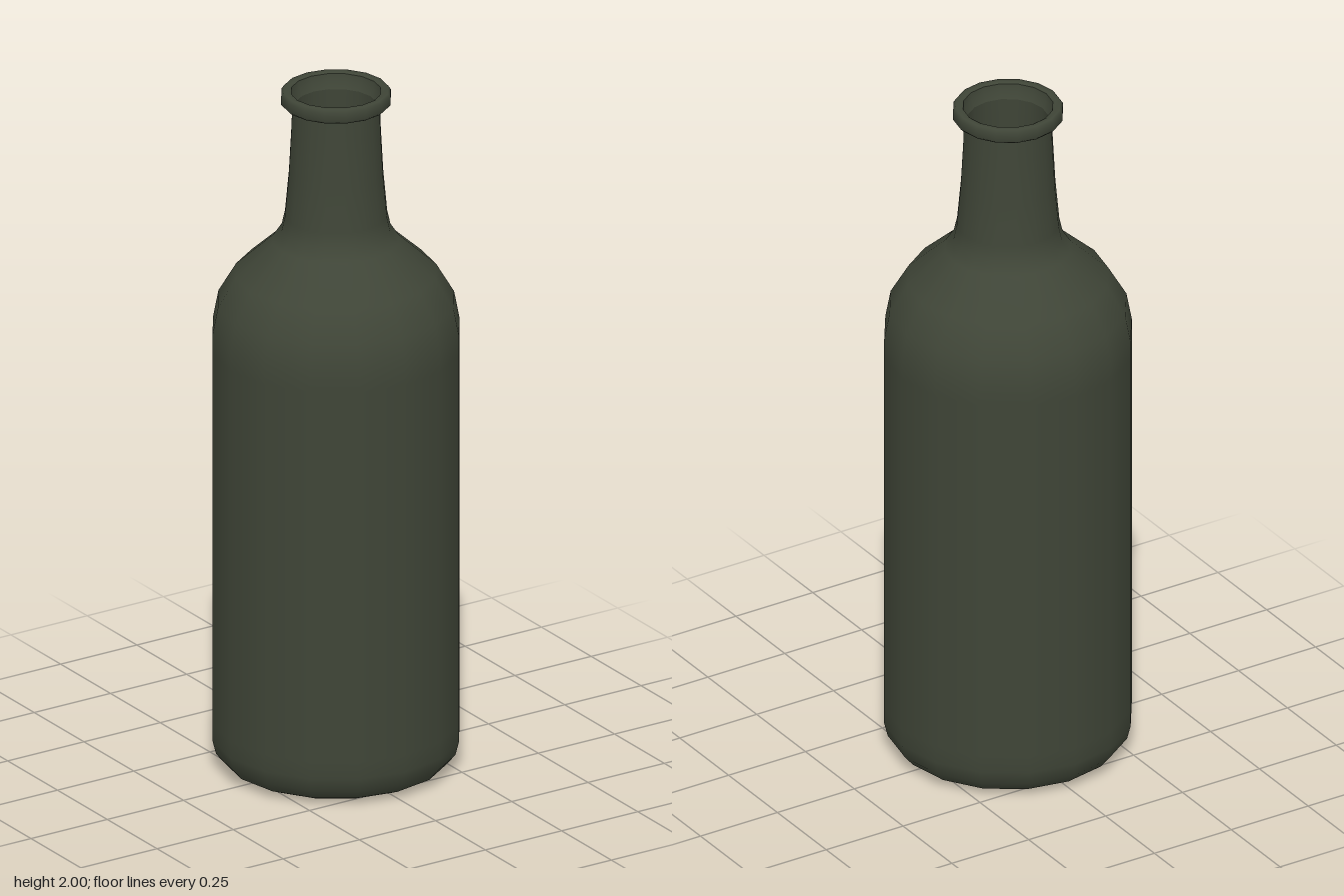
import * as THREE from 'three';

const SIDES = 16;

// Revolves a profile of [radius, height] points, listed so the surface faces its left-hand outside
function turned(name, profile, material) {
  const points = profile.map(([r, y]) => new THREE.Vector2(r, y));
  const mesh = new THREE.Mesh(new THREE.LatheGeometry(points, SIDES), material);
  mesh.name = name;
  return mesh;
}

export function createModel() {
  const glass = new THREE.MeshStandardMaterial({ color: 0x3f4537 });
  glass.name = 'dark green glass';

  const bottle = new THREE.Group();
  bottle.name = 'bottle';

  // Base, straight body, rounded shoulder and tapering neck
  bottle.add(turned('body', [
    [0, 0], [0.24, 0], [0.275, 0.004], [0.31, 0.02], [0.335, 0.05], [0.345, 0.09],
    [0.345, 0.14], [0.345, 1.24], [0.345, 1.295], [0.33, 1.375], [0.28, 1.46],
    [0.175, 1.555], [0.152, 1.59], [0.143, 1.63], [0.132, 1.75], [0.125, 1.88], [0.122, 1.965],
  ], glass));

  // Raised ring around the mouth
  bottle.add(turned('lip', [
    [0.118, 1.958], [0.145, 1.958], [0.153, 1.966], [0.153, 1.99],
    [0.146, 2], [0.132, 2], [0.125, 1.996],
  ], glass));

  // Hollow inside, from the mouth down to the floor
  bottle.add(turned('mouth', [[0.125, 1.996], [0.122, 1.975], [0.112, 1.955]], glass));
  bottle.add(turned('innerWall', [
    [0.112, 1.955], [0.115, 1.88], [0.122, 1.75], [0.133, 1.62], [0.165, 1.545],
    [0.27, 1.45], [0.32, 1.37], [0.335, 1.29], [0.335, 0.09], [0.3, 0.03],
  ], glass));
  bottle.add(turned('innerFloor', [[0.3, 0.03], [0, 0.03]], glass));

  return bottle;
}
